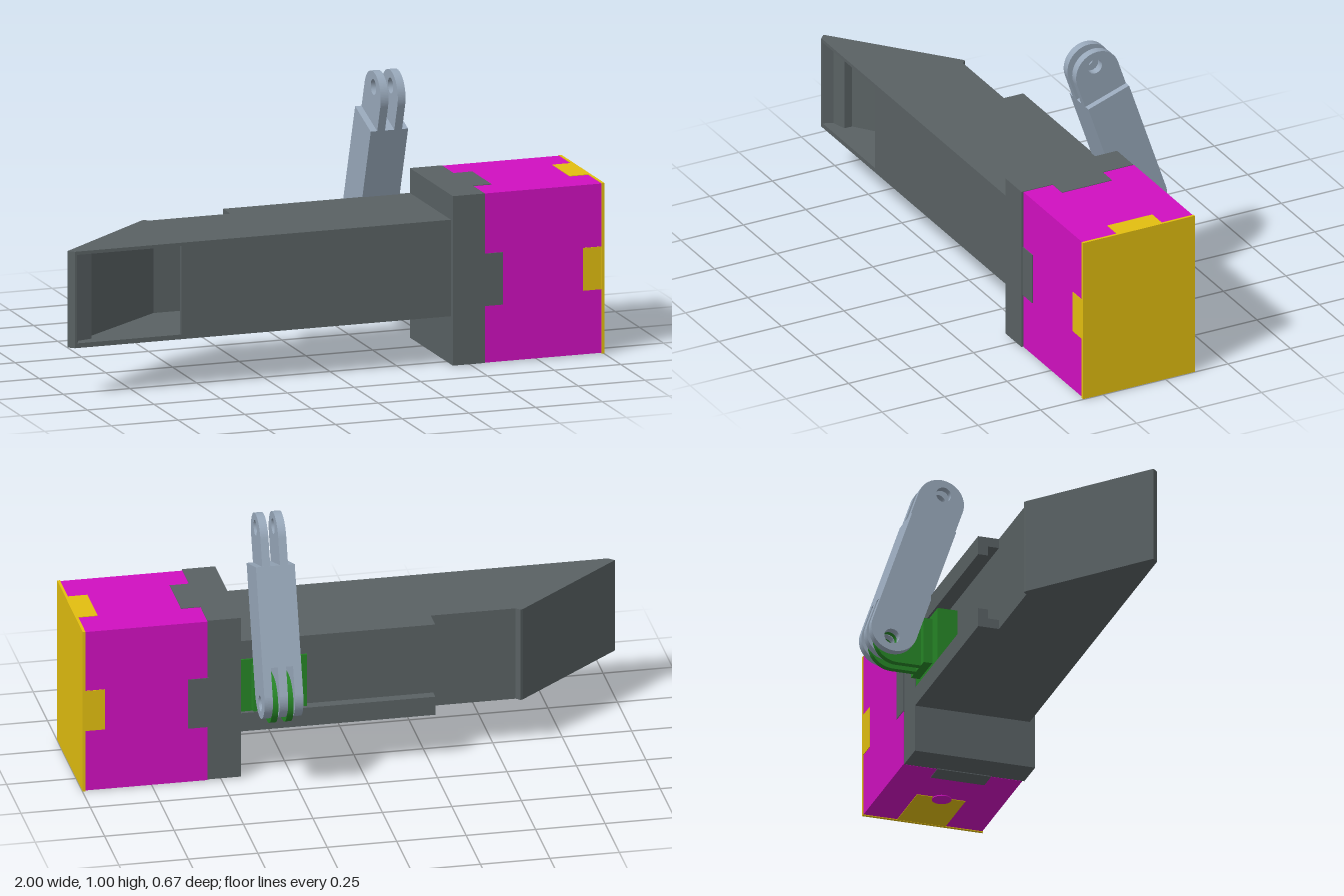
import * as THREE from 'three';

const mat = (color) => new THREE.MeshStandardMaterial({ color });

export function createModel() {
  const model = new THREE.Group();
  const dark = mat(0x596163), magenta = mat(0xd010c0), yellow = mat(0xe2be10);
  const green = mat(0x268526), steel = mat(0x98a8ba);

  const add = (name, geometry, material) => {
    const mesh = new THREE.Mesh(geometry, material);
    mesh.name = name;
    model.add(mesh);
    return mesh;
  };
  // Box given by its lowest and highest corner
  const box = (name, material, x0, x1, y0, y1, z0, z1) => {
    const g = new THREE.BoxGeometry(x1 - x0, y1 - y0, z1 - z0);
    g.translate((x0 + x1) / 2, (y0 + y1) / 2, (z0 + z1) / 2);
    return add(name, g, material);
  };
  // Plan outline (x, z) raised from y0 to y1
  const plan = (name, material, points, y0, y1) => {
    const shape = new THREE.Shape(points.map(([x, z]) => new THREE.Vector2(x, z)));
    const g = new THREE.ExtrudeGeometry(shape, { depth: y1 - y0, bevelEnabled: false });
    g.rotateX(Math.PI / 2).translate(0, y1, 0);
    return add(name, g, material);
  };

  // Hollow viewing tube: floor, roof, walls and slanted mirror end
  const outline = [[-1, 0.295], [-0.98, 0.315], [0.44, 0.315], [0.44, -0.035],
    [-0.575, -0.035], [-0.59, -0.05], [-0.6, -0.045]];
  plan('tubeFloor', dark, outline, 0.18, 0.197);
  plan('tubeRoof', dark, outline, 0.518, 0.53);
  plan('mirrorWall', dark, [[-1, 0.295], [-0.98, 0.315], [-0.97, 0.315], [-0.955, 0.28],
    [-0.9, 0.265], [-0.9, 0.235], [-0.565, -0.02], [-0.575, -0.035], [-0.59, -0.05],
    [-0.6, -0.045]], 0.197, 0.518);
  box('tubeBackWall', dark, -0.575, 0.44, 0.197, 0.518, -0.035, -0.02);
  box('tubeFrontWall', dark, -0.58, 0.44, 0.197, 0.518, 0.3, 0.315);

  // Pair of slotted rails along the back
  for (const side of [1, -1]) {
    const y = (a, b) => [0.355 + side * a, 0.355 + side * b].sort((p, q) => p - q);
    box('rail', dark, -0.27, 0.44, ...y(0.14, 0.175), -0.075, -0.034);
    box('railLip', dark, -0.27, 0.44, ...y(0.105, 0.175), -0.112, -0.075);
  }

  // Housing: collar, coloured body and end plate
  box('collar', dark, 0.43, 0.55, 0.005, 0.62, -0.112, 0.335);
  box('housingBody', magenta, 0.55, 0.99, 0.004, 0.618, -0.115, 0.327);
  box('endPlate', yellow, 0.99, 1, 0.001, 0.62, -0.117, 0.33);

  // Interlocking tabs on all four sides of the housing
  box('collarTabsVertical', dark, 0.545, 0.62, 0.002, 0.62, 0.01, 0.21);
  box('collarTabsAcross', dark, 0.545, 0.62, 0.21, 0.4, -0.117, 0.33);
  box('endTabsVertical', yellow, 0.92, 0.995, 0.002, 0.62, 0.01, 0.19);
  box('endTabsAcross', yellow, 0.92, 0.995, 0.235, 0.39, -0.117, 0.329);
  box('bottomTab', yellow, 0.77, 0.995, 0.002, 0.02, 0.01, 0.19);
  const button = new THREE.CylinderGeometry(0.035, 0.035, 0.02, 32);
  add('bottomButton', button.translate(0.78, 0.01, 0.105), magenta);

  // Strap with one round end (at the origin, pointing down) and a pin hole
  const R = 0.086;
  const lug = (length) => {
    const s = new THREE.Shape();
    s.moveTo(R, length);
    s.lineTo(-R, length);
    s.lineTo(-R, 0);
    s.absarc(0, 0, R, Math.PI, Math.PI * 2, false);
    s.closePath();
    const hole = new THREE.Path();
    hole.absarc(0, -0.032, 0.028, 0, Math.PI * 2, true);
    s.holes.push(hole);
    return s;
  };
  // Places a side outline: turned by angle, at (z, y), spanning x0 to x1
  const side = (name, material, shape, angle, z, y, x0, x1) => {
    const g = new THREE.ExtrudeGeometry(shape, { depth: x1 - x0, bevelEnabled: false, curveSegments: 24 });
    g.rotateZ(angle).translate(-z, y, 0).rotateY(Math.PI / 2).translate(x0, 0, 0);
    add(name, g, material);
  };

  // Leaning arm: solid middle, three lugs below, two lugs above
  const lean = 0.327;
  const middle = new THREE.Shape([[-R, 0.1], [R, 0.1], [R, 0.46], [-R, 0.46]]
    .map((p) => new THREE.Vector2(...p)));
  side('armBody', steel, middle, lean, -0.248, 0.38, 0.25, 0.39);
  for (const x of [0.25, 0.305, 0.36])
    side('armLowerLug', steel, lug(0.1), lean, -0.248, 0.38, x, x + 0.03);
  for (const x of [0.274, 0.338])
    side('armUpperLug', steel, lug(0.1), lean + Math.PI, -0.068, 0.909, x, x + 0.029);

  // Sliding mount held by the rails, with two lugs between the arm's three
  box('mountSlide', green, 0.19, 0.43, 0.255, 0.455, -0.108, -0.035);
  box('mountBase', green, 0.25, 0.39, 0.266, 0.438, -0.14, -0.1);
  for (const x of [0.281, 0.336])
    side('mountLug', green, lug(0.12), Math.PI / 2, -0.226, 0.352, x, x + 0.023);

  return model;
}
